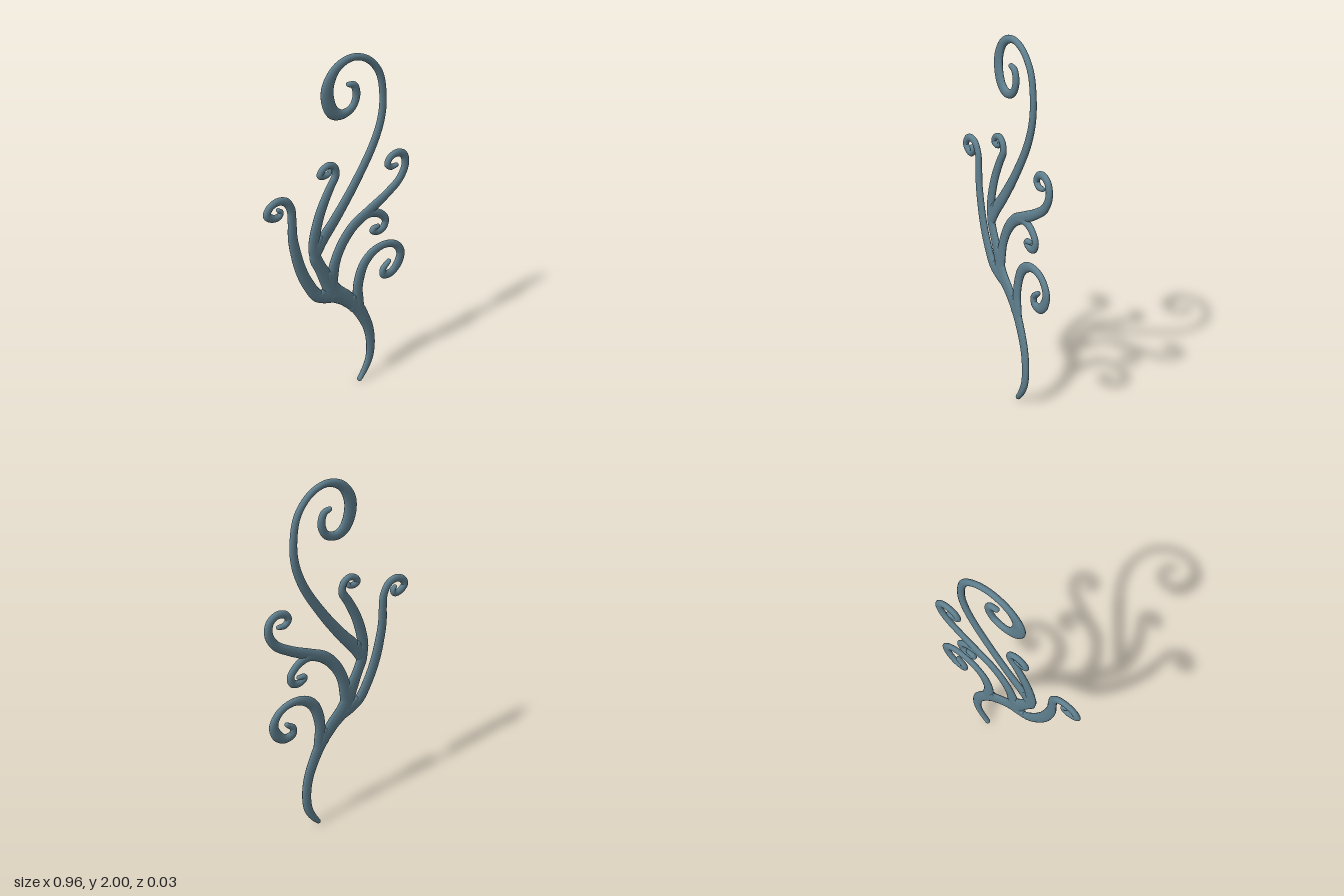
import * as THREE from 'three';

const DEPTH = 0.015; // half thickness of the whole ornament
const SIDES = 16;
const material = new THREE.MeshStandardMaterial({ color: 0x5f7f8e });

// Each stroke is a list of [x, y, half width] along its centre line.
const strokes = {
  stem: [
    [0.152, 0.016, 0.014], [0.185, 0.06, 0.02], [0.22, 0.13, 0.026], [0.23, 0.22, 0.029], [0.215, 0.33, 0.032],
    [0.175, 0.43, 0.036], [0.12, 0.525, 0.041], [0.045, 0.605, 0.045], [-0.035, 0.675, 0.052],
    [-0.08, 0.77, 0.046], [-0.125, 0.86, 0.036], [-0.158, 0.94, 0.036], [-0.15, 1.0, 0.03],
  ],
  topScroll: [
    [-0.15, 0.95, 0.03], [-0.105, 1.025, 0.036], [-0.025, 1.115, 0.033], [0.105, 1.28, 0.028], [0.23, 1.475, 0.025],
    [0.28, 1.61, 0.023], [0.288, 1.73, 0.021], [0.26, 1.86, 0.02], [0.18, 1.95, 0.018], [0.08, 1.981, 0.019],
    [-0.015, 1.948, 0.026], [-0.069, 1.865, 0.037], [-0.068, 1.785, 0.039], [-0.035, 1.72, 0.035],
    [0.02, 1.695, 0.026], [0.085, 1.715, 0.022], [0.113, 1.775, 0.022], [0.098, 1.83, 0.02], [0.062, 1.845, 0.013],
  ],
  innerFrond: [
    [-0.155, 0.93, 0.034], [-0.166, 1.0, 0.034], [-0.152, 1.09, 0.033], [-0.115, 1.2, 0.03], [-0.06, 1.305, 0.026],
    [-0.021, 1.37, 0.023], [-0.03, 1.418, 0.02], [-0.065, 1.439, 0.018], [-0.107, 1.425, 0.018],
    [-0.12, 1.4, 0.02], [-0.095, 1.388, 0.018], [-0.063, 1.395, 0.014], [-0.058, 1.408, 0.011],
  ],
  leftFrond: [
    [-0.02, 0.645, 0.04], [-0.09, 0.665, 0.038], [-0.145, 0.695, 0.035], [-0.21, 0.795, 0.034], [-0.255, 0.9, 0.033],
    [-0.282, 1.0, 0.031], [-0.3, 1.1, 0.028], [-0.302, 1.2, 0.025], [-0.308, 1.27, 0.024], [-0.34, 1.322, 0.023],
    [-0.39, 1.338, 0.021], [-0.437, 1.32, 0.021], [-0.455, 1.285, 0.022], [-0.425, 1.257, 0.021],
    [-0.385, 1.253, 0.018], [-0.37, 1.275, 0.014], [-0.386, 1.291, 0.011],
  ],
  rightFrond: [
    [-0.06, 0.67, 0.045], [-0.045, 0.77, 0.04], [-0.022, 0.865, 0.034], [0.027, 0.957, 0.033], [0.1, 1.033, 0.033],
    [0.2, 1.085, 0.031], [0.32, 1.145, 0.027], [0.415, 1.21, 0.025], [0.454, 1.285, 0.024], [0.442, 1.345, 0.023],
    [0.395, 1.371, 0.021], [0.346, 1.357, 0.02], [0.329, 1.325, 0.019], [0.352, 1.301, 0.017], [0.391, 1.301, 0.012],
  ],
  rightCurl: [
    [0.14, 1.055, 0.024], [0.21, 1.07, 0.025], [0.28, 1.045, 0.023], [0.322, 0.995, 0.022], [0.31, 0.953, 0.022],
    [0.27, 0.939, 0.02], [0.233, 0.957, 0.018], [0.238, 0.968, 0.016], [0.27, 0.973, 0.012],
  ],
  lowerCurl: [
    [0.145, 0.48, 0.034], [0.135, 0.56, 0.036], [0.132, 0.62, 0.033], [0.142, 0.69, 0.034], [0.175, 0.77, 0.032],
    [0.235, 0.822, 0.028], [0.315, 0.84, 0.022], [0.395, 0.815, 0.022], [0.438, 0.75, 0.027], [0.42, 0.685, 0.03],
    [0.37, 0.643, 0.026], [0.318, 0.65, 0.024], [0.313, 0.685, 0.02], [0.353, 0.722, 0.013],
  ],
};

// Sweeps a flattened oval along the centre line, with rounded ends.
function sweep(points) {
  const path = new THREE.CatmullRomCurve3(points.map((p) => new THREE.Vector3(...p)));
  const steps = points.length * 10;
  const rings = [];
  const addRing = (t, along, scale) => {
    const p = path.getPoint(t);
    const d = path.getTangent(t).setZ(0).normalize();
    rings.push({ x: p.x + d.x * along * p.z, y: p.y + d.y * along * p.z, d, w: p.z * scale, h: Math.min(DEPTH, p.z * 1.1) * scale });
  };
  const cap = [0, 0.3, 0.6, 0.9, 1.2].map((a) => [Math.cos(a), Math.max(Math.sin(a), 0.01)]);
  for (const [c, s] of cap) addRing(0, -c, s);
  for (let i = 0; i <= steps; i++) addRing(i / steps, 0, 1);
  for (const [c, s] of cap.reverse()) addRing(1, c, s);

  const positions = [], indices = [];
  rings.forEach((r, i) => {
    for (let j = 0; j < SIDES; j++) {
      const a = (j / SIDES) * Math.PI * 2;
      const side = Math.cos(a) * r.w;
      positions.push(r.x - r.d.y * side, r.y + r.d.x * side, Math.sin(a) * r.h);
      if (i === 0) continue;
      const k = (j + 1) % SIDES, p = (i - 1) * SIDES, q = i * SIDES;
      indices.push(p + j, p + k, q + j, p + k, q + k, q + j);
    }
  });
  const geometry = new THREE.BufferGeometry();
  geometry.setAttribute('position', new THREE.Float32BufferAttribute(positions, 3));
  geometry.setIndex(indices);
  geometry.computeVertexNormals();
  return geometry;
}

// Small wedges that soften the forks: [x, y, half width] from the joint up into the crotch.
const webs = [
  [[-0.06, 0.7, 0.05], [-0.06, 0.74, 0.045], [-0.065, 0.8, 0.02]],
  [[-0.07, 0.66, 0.04], [-0.1, 0.685, 0.03], [-0.115, 0.7, 0.02]],
  [[0.11, 0.53, 0.04], [0.105, 0.565, 0.03], [0.1, 0.59, 0.017]],
  [[-0.15, 0.96, 0.034], [-0.135, 1.01, 0.03], [-0.125, 1.04, 0.017]],
  [[0.15, 1.06, 0.024], [0.19, 1.072, 0.024], [0.22, 1.078, 0.016]],
];

export function createModel() {
  const model = new THREE.Group();
  model.name = 'scrollOrnament';
  const add = (name, points) => {
    const mesh = new THREE.Mesh(sweep(points), material);
    mesh.name = name;
    model.add(mesh);
  };
  for (const [name, points] of Object.entries(strokes)) add(name, points);
  webs.forEach((points, i) => add(`forkWeb${i + 1}`, points));
  return model;
}
